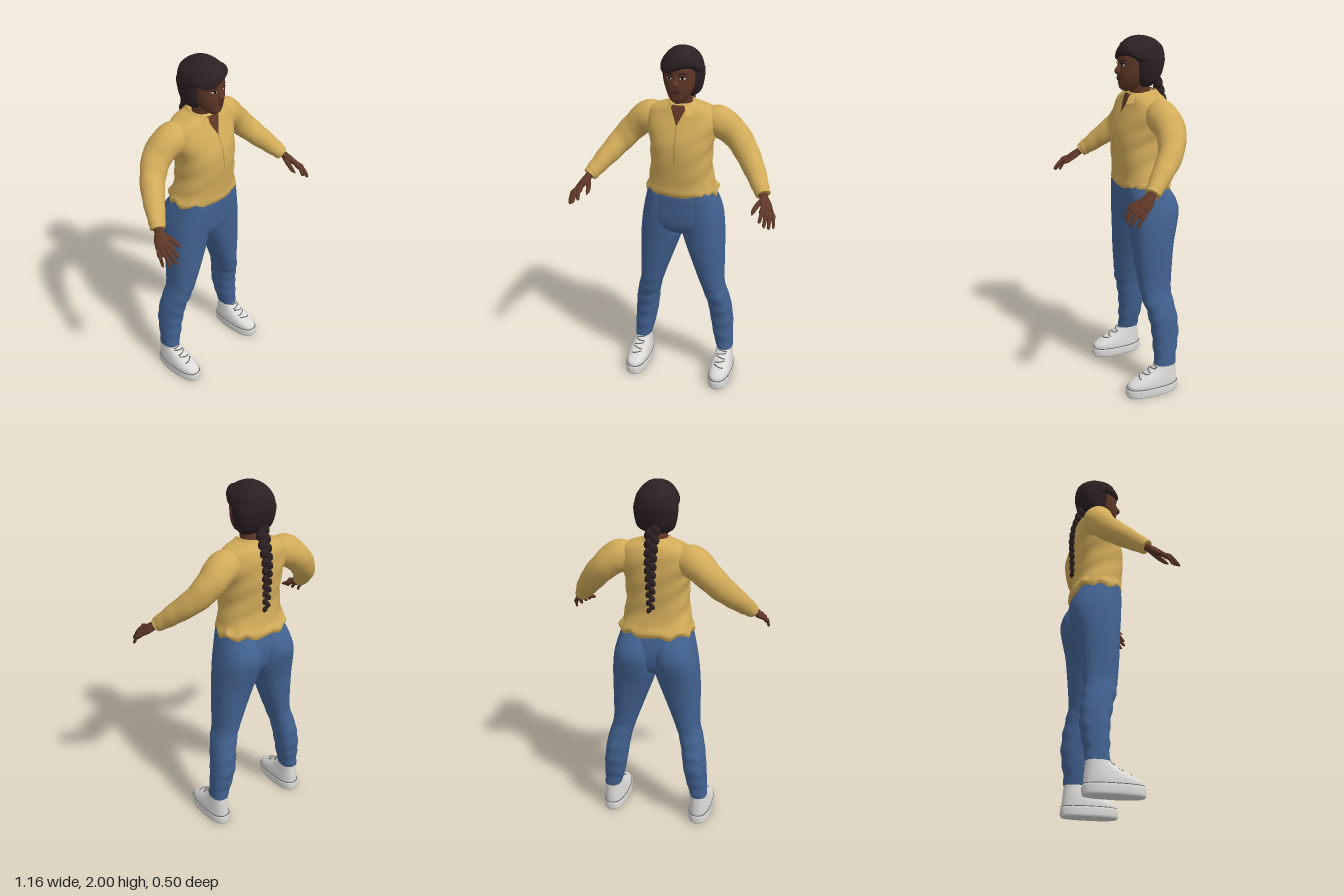
import * as THREE from 'three';

const V = (x, y, z) => new THREE.Vector3(x, y, z);
const mat = (name, color, side = THREE.FrontSide) => {
  const m = new THREE.MeshStandardMaterial({ color, side });
  m.name = name;
  return m;
};

// Smoothly interpolated row [y, cx, halfWidth, zFront, zBack] at height y
function sample(rows, y) {
  let i = 0;
  while (i < rows.length - 2 && y > rows[i + 1][0]) i++;
  const a = rows[i], b = rows[i + 1], h = b[0] - a[0];
  const t = THREE.MathUtils.clamp((y - a[0]) / h, 0, 1);
  const slope = (j, k) => {
    const p = rows[Math.max(j - 1, 0)], q = rows[Math.min(j + 1, rows.length - 1)];
    return (q[k] - p[k]) / (q[0] - p[0]) * h;
  };
  return a.map((v, k) => k === 0 ? y :
    (2 * t ** 3 - 3 * t * t + 1) * v + (t ** 3 - 2 * t * t + t) * slope(i, k) +
    (3 * t * t - 2 * t ** 3) * b[k] + (t ** 3 - t * t) * slope(i + 1, k));
}

// Skin over rings of points, with separate cap vertices so the rims stay crisp
function skin(rings) {
  const n = rings[0].length, pos = [], idx = [];
  rings.flat().forEach(p => pos.push(p.x, p.y, p.z));
  for (let i = 0; i < rings.length - 1; i++) for (let j = 0; j < n; j++) {
    const a = i * n + j, b = i * n + (j + 1) % n;
    idx.push(a, a + n, b, b, a + n, b + n);
  }
  [rings[0], rings.at(-1)].forEach((ring, top) => {
    const c = ring.reduce((s, p) => s.add(p), V(0, 0, 0)).divideScalar(n), k = pos.length / 3;
    [c, ...ring].forEach(p => pos.push(p.x, p.y, p.z));
    for (let j = 0; j < n; j++) {
      const a = k + 1 + j, b = k + 1 + (j + 1) % n;
      top ? idx.push(k, b, a) : idx.push(k, a, b);
    }
  });
  const g = new THREE.BufferGeometry();
  g.setAttribute('position', new THREE.Float32BufferAttribute(pos, 3));
  g.setIndex(idx);
  g.computeVertexNormals();
  return g;
}

// Upright body form: superellipse slices stacked in y
function loft(rows, { exp = 2.3, steps = 30, seg = 44, rule } = {}) {
  const rings = [], y0 = rows[0][0], y1 = rows.at(-1)[0];
  const pw = v => Math.sign(v) * Math.abs(v) ** (2 / exp);
  for (let i = 0; i <= steps; i++) {
    const [y, cx, w, f, b] = sample(rows, y0 + (y1 - y0) * i / steps), ring = [];
    for (let j = 0; j < seg; j++) {
      const a = j / seg * Math.PI * 2;
      const p = V(cx + w * pw(Math.cos(a)), y, (f + b) / 2 + (f - b) / 2 * pw(Math.sin(a)));
      if (rule) rule(p, a);
      ring.push(p);
    }
    rings.push(ring);
  }
  return skin(rings);
}

// Front surface of a loft, used to lay thin details on it
function front(rows, x, y, exp = 2.3) {
  const [, cx, w, f, b] = sample(rows, y);
  const r = Math.min(Math.abs((x - cx) / w), 0.999);
  return (f + b) / 2 + (f - b) / 2 * (1 - r ** exp) ** (1 / exp);
}
function drape(geo, rows, off, exp) {
  const p = geo.attributes.position;
  for (let i = 0; i < p.count; i++) p.setZ(i, front(rows, p.getX(i), p.getY(i), exp) + off);
  geo.computeVertexNormals();
  return geo;
}
const oval = (x, y, w, h, tilt = 0) => new THREE.CircleGeometry(1, 20).scale(w, h, 1).rotateZ(tilt).translate(x, y, 0);

// Limb: elliptical sections along a smooth path; pts = [x, y, z, width, thickness]
function limb(pts, { across = V(0, 0, 1), steps = 20, seg = 20, rule } = {}) {
  const curve = new THREE.CatmullRomCurve3(pts.map(p => V(p[0], p[1], p[2])));
  const size = new THREE.CatmullRomCurve3(pts.map(p => V(p[3], p[4] ?? p[3], 0)));
  const rings = [];
  for (let i = 0; i <= steps; i++) {
    const t = i / steps, c = curve.getPoint(t), T = curve.getTangent(t), s = size.getPoint(t);
    const S = across.clone().addScaledVector(T, -across.dot(T)).normalize(), U = S.clone().cross(T);
    const ring = [];
    for (let j = 0; j < seg; j++) {
      const a = j / seg * Math.PI * 2, k = rule ? rule(t, a) : 1;
      ring.push(c.clone().addScaledVector(S, s.x * k * Math.cos(a)).addScaledVector(U, s.y * k * Math.sin(a)));
    }
    rings.push(ring);
  }
  return skin(rings);
}

export function createModel() {
  const model = new THREE.Group();
  model.name = 'standingWoman';
  const skinM = mat('skin', 0x5e3727), hairM = mat('hair', 0x2c2022), shirtM = mat('shirt', 0xd1ab59, THREE.DoubleSide);
  const seamM = mat('shirtSeam', 0xa38343), jeansM = mat('jeans', 0x426291), shoeM = mat('shoe', 0xdad9d6);
  const laceM = mat('lace', 0x6b6967), eyeM = mat('eyeWhite', 0xc9bdb4), darkM = mat('eyeDark', 0x1a1213), lipM = mat('lips', 0x4c2522);
  const add = (name, geo, m) => {
    const mesh = new THREE.Mesh(geo, m);
    mesh.name = name;
    model.add(mesh);
  };
  const pair = (name, geo, m) => {
    add(name + 'Left', geo, m);
    const g = geo.clone().scale(-1, 1, 1), ix = g.index.array;
    for (let i = 0; i < ix.length; i += 3) [ix[i], ix[i + 1]] = [ix[i + 1], ix[i]];
    add(name + 'Right', g, m);
  };

  // Head and neck
  const face = [[1.713, 0, 0.02, 0.025, -0.03], [1.73, 0, 0.042, 0.042, -0.06], [1.76, 0, 0.062, 0.046, -0.09],
    [1.8, 0, 0.077, 0.05, -0.12], [1.85, 0, 0.084, 0.046, -0.13], [1.9, 0, 0.084, 0.045, -0.15], [1.95, 0, 0.06, 0.01, -0.12]];
  add('face', loft(face), skinM);
  add('neck', limb([[0, 1.58, -0.085, 0.065], [0, 1.68, -0.08, 0.056], [0, 1.78, -0.06, 0.054]]), skinM);
  add('nose', limb([[0, 1.868, 0.038, 0.008], [0, 1.84, 0.047, 0.011], [0, 1.818, 0.057, 0.017, 0.015], [0, 1.806, 0.05, 0.014, 0.007]], { across: V(1, 0, 0) }), skinM);
  pair('eye', drape(oval(0.036, 1.853, 0.016, 0.007, 0.1), face, 0.003), eyeM);
  pair('iris', drape(oval(0.035, 1.853, 0.007, 0.007), face, 0.005), darkM);
  pair('eyelid', drape(oval(0.036, 1.861, 0.019, 0.003, 0.08), face, 0.005), darkM);
  pair('eyebrow', drape(oval(0.038, 1.877, 0.022, 0.004, 0.1), face, 0.004), hairM);
  add('upperLip', drape(oval(0, 1.783, 0.025, 0.006), face, 0.005), lipM);
  add('lowerLip', drape(oval(0, 1.774, 0.02, 0.006), face, 0.006), lipM);

  // Bobbed hair with a fringe swept down to one side
  const hair = [[1.735, 0, 0.065, -0.05, -0.12], [1.76, 0, 0.094, -0.035, -0.16], [1.8, 0, 0.107, -0.018, -0.185],
    [1.85, 0, 0.113, -0.005, -0.2], [1.878, 0, 0.113, 0.005, -0.205], [1.892, 0, 0.112, 0.05, -0.205], [1.92, 0, 0.106, 0.056, -0.202],
    [1.95, 0, 0.09, 0.042, -0.188], [1.98, 0, 0.062, 0.005, -0.15], [1.995, 0, 0.035, -0.03, -0.11], [2, 0, 0.01, -0.055, -0.075]];
  add('hair', loft(hair, { steps: 60, seg: 64, rule: (p, a) => {
    p.y += THREE.MathUtils.clamp((p.z + 0.02) / 0.07, 0, 1) * 0.42 * p.x * (p.y < 1.96 ? 1 : 0.4);
    p.x *= 1 + 0.008 * Math.sin(a * 18);
  } }), hairM);

  // Braid: two rows of overlapping locks tapering down the back
  for (let i = 0; i < 20; i++) {
    const t = i / 19, s = i % 2 ? 1 : -1, r = 0.03 - 0.014 * t;
    const lock = new THREE.SphereGeometry(1, 14, 10).scale(r * 0.8, r * 1.15, r * 0.8).rotateZ(s * 0.55);
    add('braidLock' + (i + 1), lock.translate(s * r * 0.5, 1.77 - 0.425 * t, -0.172 - 0.052 * Math.sin(Math.min(t * 3, 1.57)) + 0.008 * t), hairM);
  }

  // Loose shirt body with soft folds and a gathered hem
  const shirt = [[1.185, 0, 0.197, 0.052, -0.222], [1.21, 0, 0.207, 0.064, -0.23], [1.25, 0, 0.19, 0.064, -0.213], [1.32, 0, 0.176, 0.07, -0.2],
    [1.42, 0, 0.171, 0.077, -0.205], [1.5, 0, 0.18, 0.07, -0.212], [1.57, 0, 0.198, 0.045, -0.213], [1.63, 0, 0.202, 0.017, -0.208],
    [1.67, 0, 0.168, 0, -0.195], [1.69, 0, 0.11, -0.01, -0.18], [1.702, 0, 0.065, -0.02, -0.16]];
  add('shirtBody', loft(shirt, { steps: 60, seg: 72, rule: (p, a) => {
    const side = Math.abs(Math.cos(a)) + (p.z < -0.1 ? 0.4 : 0);
    const hem = THREE.MathUtils.clamp((1.26 - p.y) / 0.07, 0, 1);
    const k = 1 + 0.014 * side * Math.sin(p.y * 55 + a * 4) + 0.02 * hem * side * Math.sin(a * 15);
    p.x *= k;
    p.z = -0.07 + (p.z + 0.07) * k;
    p.y -= 0.012 * hem * side * Math.sin(a * 9 + 1);
  } }), shirtM);

  // Open neckline, button placket and folded collar
  const neckline = new THREE.PlaneGeometry(1, 0.1, 10, 12).translate(0, 1.645, 0), np = neckline.attributes.position;
  for (let i = 0; i < np.count; i++) np.setX(i, np.getX(i) * (np.getY(i) - 1.594) * 0.95);
  add('openNeckline', drape(neckline, shirt, 0.006), skinM);
  add('placketSeam', drape(new THREE.PlaneGeometry(0.005, 0.2, 1, 20).translate(0, 1.495, 0), shirt, 0.003), seamM);
  const collar = new THREE.PlaneGeometry(1, 1, 40, 4), cp = collar.attributes.position;
  for (let i = 0; i < cp.count; i++) {
    const a = cp.getX(i) * 5.2, v = 0.5 - cp.getY(i), f = (1 - Math.cos(a)) / 2;
    const r = 0.066 + 0.03 * v + 0.008 * f * v;
    cp.setXYZ(i, r * Math.sin(a), 1.714 - 0.03 * v - f * f * (0.022 + 0.018 * v), -0.082 - (r + 0.016) * Math.cos(a) + 0.012 * f);
  }
  collar.computeVertexNormals();
  add('collar', collar, shirtM);

  // Sleeves
  pair('sleeve', limb([[0.12, 1.6, -0.105, 0.07], [0.2, 1.594, -0.112, 0.087], [0.28, 1.535, -0.122, 0.082, 0.076], [0.355, 1.452, -0.09, 0.068],
    [0.425, 1.368, -0.012, 0.057], [0.475, 1.302, 0.058, 0.044], [0.492, 1.28, 0.082, 0.039]],
  { steps: 50, seg: 32, rule: (t, a) => 1 + 0.03 * t * Math.sin(t * 45 + 2 * Math.sin(a)) + 0.012 * Math.sin(a * 3 + t * 20) }), shirtM);

  // Hands
  const across = V(-0.78, 0.5, 0.39), knuckle = V(0.53, 1.228, 0.152);
  pair('palm', limb([[0.478, 1.3, 0.06, 0.024], [0.498, 1.272, 0.095, 0.025, 0.02], [0.515, 1.248, 0.125, 0.038, 0.019], [0.533, 1.224, 0.157, 0.038, 0.014]], { across }), skinM);
  const tips = [[0.505, 1.185, 0.238], [0.533, 1.168, 0.25], [0.556, 1.155, 0.235], [0.576, 1.146, 0.2]];
  tips.forEach((tip, i) => {
    const a = knuckle.clone().addScaledVector(across, 0.029 - i * 0.0193), b = V(...tip), m = a.clone().lerp(b, 0.5).add(V(0.004, 0.008, 0.004));
    const r = i === 3 ? 0.009 : 0.0108;
    pair('finger' + (i + 1), limb([[...a, r], [...m, r], [...a.lerp(b, 0.9), r * 0.8], [...b, 0.002]], { across, steps: 12, seg: 12 }), skinM);
  });
  pair('thumb', limb([[0.497, 1.262, 0.1, 0.016], [0.475, 1.243, 0.145, 0.014], [0.463, 1.224, 0.188, 0.011], [0.46, 1.214, 0.212, 0.003]], { across, steps: 12, seg: 12 }), skinM);

  // Trousers: [y, inner x, outer x, front z, back z]
  const leg = [[0.17, 0.215, 0.311, -0.062, -0.182], [0.24, 0.195, 0.309, -0.06, -0.19], [0.36, 0.172, 0.303, -0.054, -0.208],
    [0.48, 0.155, 0.288, -0.033, -0.2], [0.55, 0.138, 0.27, -0.012, -0.186], [0.62, 0.115, 0.253, 0, -0.182], [0.75, 0.068, 0.25, 0.015, -0.195],
    [0.88, 0.02, 0.248, 0.025, -0.213], [0.94, 0.002, 0.245, 0.03, -0.228], [1, -0.006, 0.239, 0.036, -0.243], [1.06, -0.005, 0.23, 0.04, -0.252],
    [1.12, 0, 0.216, 0.043, -0.236], [1.18, 0.01, 0.199, 0.044, -0.2], [1.22, 0.015, 0.19, 0.04, -0.18]]
    .map(([y, i, o, f, b]) => [y, (i + o) / 2, (o - i) / 2, f, b]);
  pair('trouserLeg', loft(leg, { steps: 60, rule: (p, a) => {
    if (p.y < 0.62) p.z += 0.003 * Math.sin(p.y * 70 + Math.sin(a) * 2);
  } }), jeansM);
  add('trouserSeat', loft([[0.935, 0, 0.03, -0.03, -0.13], [0.96, 0, 0.11, 0.015, -0.18], [1, 0, 0.195, 0.04, -0.208], [1.06, 0, 0.218, 0.049, -0.218],
    [1.12, 0, 0.21, 0.052, -0.215], [1.18, 0, 0.198, 0.055, -0.2], [1.225, 0, 0.19, 0.05, -0.19]], { exp: 2.5 }), jeansM);

  // Trainers
  const X = 0.2625, upper = [[0.045, X, 0.063, 0.112, -0.192], [0.075, X, 0.062, 0.104, -0.191], [0.1, X, 0.058, 0.06, -0.189],
    [0.13, X, 0.052, -0.005, -0.186], [0.16, X, 0.047, -0.05, -0.183], [0.183, X, 0.045, -0.072, -0.182]];
  pair('shoeUpper', loft(upper, { exp: 2.4 }), shoeM);
  pair('shoeSole', loft([[0, X, 0.063, 0.115, -0.194], [0.008, X, 0.067, 0.12, -0.199], [0.046, X, 0.067, 0.12, -0.199], [0.054, X, 0.064, 0.115, -0.195]], { exp: 2.5, steps: 12 }), shoeM);
  pair('soleSeam', loft([[0.052, X, 0.0655, 0.116, -0.196], [0.056, X, 0.0655, 0.115, -0.196]], { exp: 2.5, steps: 1 }), laceM);
  for (let i = 0; i < 5; i++) {
    const y = 0.11 + i * 0.014, path = [-1, -0.5, 0, 0.5, 1].map(s => {
      const x = X + s * 0.028, yy = y + (i % 2 ? 0.004 : -0.004) * s;
      return [x, yy, front(upper, x, yy, 2.4) + 0.002, 0.0035];
    });
    pair('lace' + (i + 1), limb(path, { across: V(0, 1, 0), steps: 10, seg: 8 }), laceM);
  }
  return model;
}
